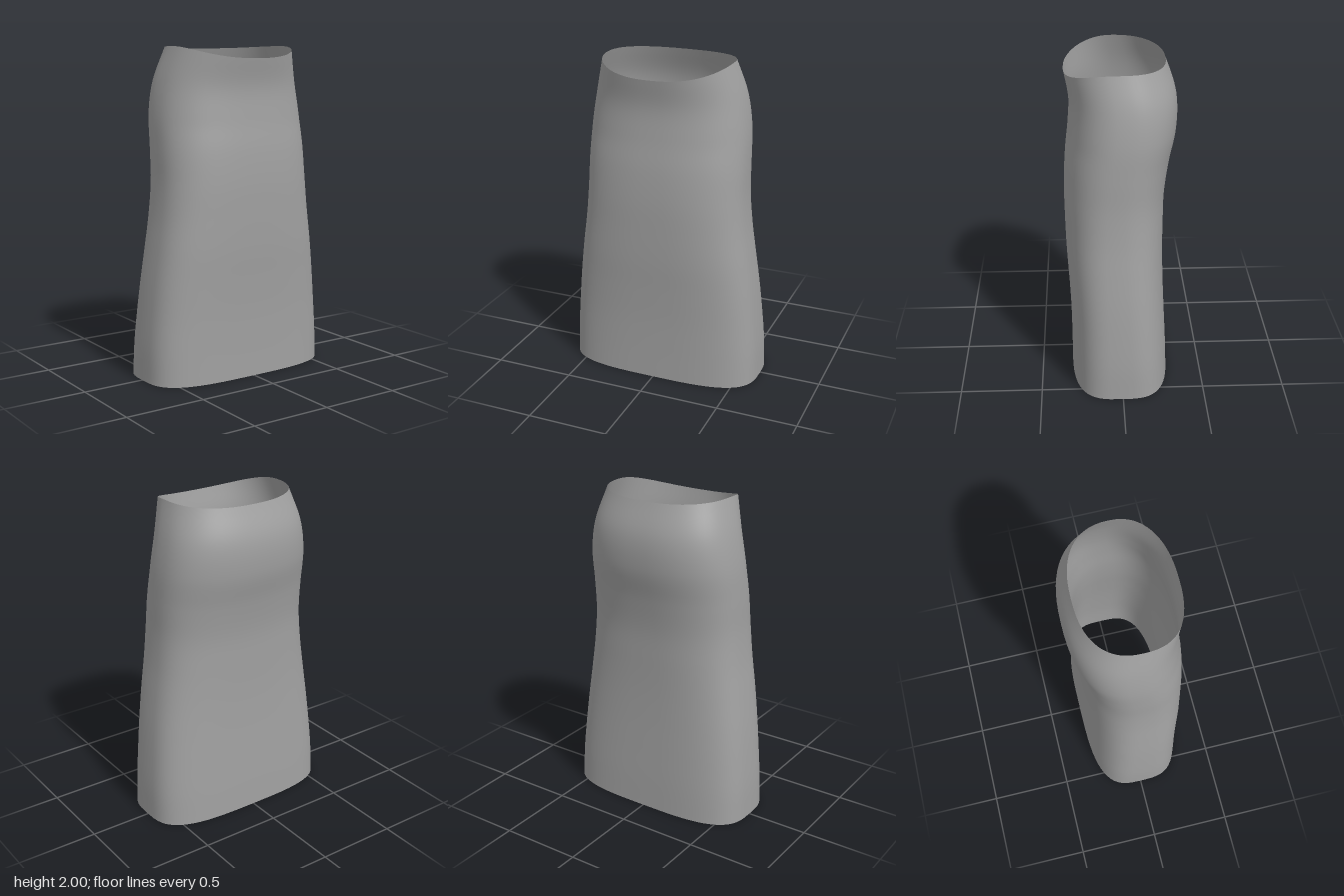
import * as THREE from 'three';

// Cross-sections at even heights, bottom to top: [half width, front depth, back depth]
const SECTIONS = [
  [0.615, 0.31, 0.292],
  [0.61, 0.31, 0.285],
  [0.595, 0.313, 0.275],
  [0.575, 0.322, 0.266],
  [0.549, 0.334, 0.261],
  [0.522, 0.34, 0.262],
  [0.505, 0.342, 0.268],
  [0.5, 0.333, 0.295],
  [0.489, 0.313, 0.334],
  [0.455, 0.304, 0.331],
  [0.397, 0.332, 0.267],
];
const AROUND = 64;
const UP = 60;

const signedPow = (v, p) => Math.sign(v) * Math.pow(Math.abs(v), p);

// Open tube of rounded sections, with the upper rim dipping at front and back
function sleeveGeometry() {
  const curve = new THREE.CatmullRomCurve3(
    SECTIONS.map((s) => new THREE.Vector3(...s)), false, 'catmullrom', 0.5);
  const positions = [];
  const index = [];
  for (let j = 0; j <= UP; j++) {
    const u = j / UP;
    const { x: width, y: front, z: back } = curve.getPoint(u);
    const power = 2 / THREE.MathUtils.lerp(3.3, 2.4, Math.min(1, u * 1.3));
    const middle = (front - back) / 2;
    const depth = (front + back) / 2;
    for (let i = 0; i < AROUND; i++) {
      const t = (i / AROUND) * Math.PI * 2;
      const c = signedPow(Math.cos(t), power);
      const s = signedPow(Math.sin(t), power);
      const dip = (s > 0 ? 0.07 : 0.015) * s * s * Math.pow(u, 5);
      positions.push(width * c, 2 * u - dip, middle + depth * s);
      if (j < UP) {
        const a = j * AROUND + i;
        const b = j * AROUND + ((i + 1) % AROUND);
        index.push(a, a + AROUND, b, b, a + AROUND, b + AROUND);
      }
    }
  }
  const geometry = new THREE.BufferGeometry();
  geometry.setAttribute('position', new THREE.Float32BufferAttribute(positions, 3));
  geometry.setIndex(index);
  geometry.computeVertexNormals();
  return geometry;
}

export function createModel() {
  const model = new THREE.Group();
  model.name = 'tubeDress';

  const fabric = new THREE.MeshStandardMaterial({ color: 0xa0a0a0, side: THREE.DoubleSide });
  fabric.name = 'grey fabric';

  const body = new THREE.Mesh(sleeveGeometry(), fabric);
  body.name = 'dressBody';
  model.add(body);
  return model;
}
